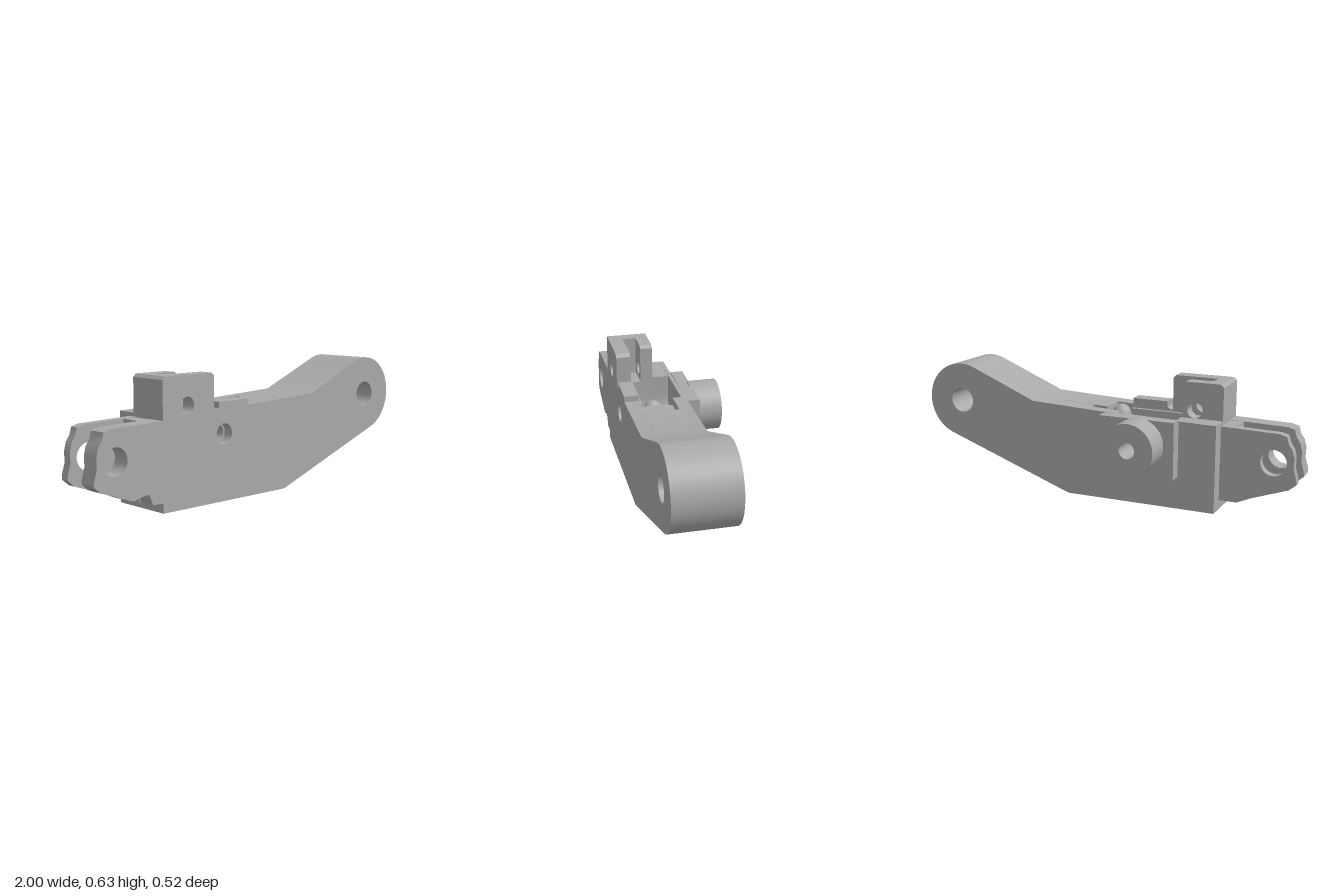
import * as THREE from 'three';
import { toCreasedNormals } from 'three/addons/utils/BufferGeometryUtils.js';

export function createModel() {
  const model = new THREE.Group();
  const grey = new THREE.MeshStandardMaterial({ color: 0xaaaaaa });
  grey.name = 'machinedGrey';

  // Plate cut in the front plane, spanning z0 to z1, with round holes [x, y, r]
  function plate(name, pts, z0, z1, holes = []) {
    const shape = new THREE.Shape(pts.map(([x, y]) => new THREE.Vector2(x, y)));
    for (const [x, y, r] of holes) {
      shape.holes.push(new THREE.Path().absarc(x, y, r, 0, Math.PI * 2, true));
    }
    const geo = new THREE.ExtrudeGeometry(shape, { depth: z1 - z0, bevelEnabled: false, curveSegments: 32 });
    geo.translate(0, 0, z0);
    const mesh = new THREE.Mesh(toCreasedNormals(geo, 0.4), grey);
    mesh.name = name;
    model.add(mesh);
  }

  function arc(cx, cy, r, from, to, n) {
    const pts = [];
    for (let i = 0; i <= n; i++) {
      const a = THREE.MathUtils.degToRad(from + (to - from) * i / n);
      pts.push([cx + r * Math.cos(a), cy + r * Math.sin(a)]);
    }
    return pts;
  }

  const eye = [0.8, 0.435, 0.065];
  const pin = (r) => [-0.245, 0.325, r];
  const towerHole = [-0.475, 0.48, 0.04];
  const pocket = arc(-0.247, 0.325, 0.157, 0, -180, 24);
  const lower = [[-0.62, 0], [0.17, 0], ...arc(0.8, 0.435, 0.197, -70.5, 113, 40), [0.37, 0.47]];

  // Body slices: each has the same lower outline and its own top, listed right to left
  const body = (name, z0, z1, top, holes = []) => plate(name, [...lower, ...top], z0, z1, [eye, ...holes]);
  const towerTop = (right) => [[right, 0.605], [right - 0.015, 0.62], [-0.605, 0.62], [-0.62, 0.605]];
  const backTop = [[-0.405, 0.44], [-0.62, 0.44]];
  const slotTower = [[-0.545, 0.42], [-0.545, 0.62], [-0.605, 0.62], [-0.62, 0.605]];
  const scoop = [[-0.005, 0.455], [-0.005, 0.4], [-0.09, 0.36]];

  body('backWall', -0.055, -0.035, [[-0.09, 0.45], [-0.62, 0.44]], [pin(0.04)]);
  body('pocketBack', -0.035, 0.01, [[-0.09, 0.45], ...pocket, ...backTop]);
  body('pocketGroove', 0.01, 0.05, [[0.07, 0.457], [0.07, 0.41], [-0.09, 0.41], ...pocket, ...backTop]);
  body('pocketTower', 0.05, 0.115, [...scoop, ...pocket, [-0.41, 0.42], ...towerTop(-0.41)], [towerHole]);
  body('pocketSlot', 0.115, 0.165, [...scoop, ...pocket, [-0.405, 0.42], ...slotTower]);
  body('slotFront', 0.165, 0.185, [...scoop, [-0.09, 0.43], [-0.31, 0.43], ...slotTower], [pin(0.04)]);

  // Front wall with raised lip and tower face
  const frontTop = [[-0.09, 0.45], [-0.09, 0.48], [-0.28, 0.48], [-0.28, 0.45], [-0.295, 0.44],
    [-0.31, 0.44], ...towerTop(-0.31)];
  body('frontWallInner', 0.185, 0.21, frontTop, [pin(0.04), towerHole]);
  body('frontWall', 0.21, 0.26, frontTop, [pin(0.05), towerHole]);

  // Forked end
  const forkHole = [-0.885, 0.27, 0.065];
  const forkEnd = [[-0.62, 0.422], [-0.91, 0.415], [-0.945, 0.405], [-0.955, 0.37], [-0.975, 0.34],
    [-0.985, 0.3], [-0.983, 0.25], [-0.998, 0.2], [-1, 0.175], [-0.965, 0.145], [-0.79, 0.083]];
  plate('backProng', [...forkEnd, [-0.71, 0.048], [-0.62, 0.048]], 0.02, 0.065, [forkHole]);
  plate('frontProng', [...forkEnd, [-0.72, 0.1], [-0.7, 0.098], [-0.68, 0.048], [-0.62, 0.048]], 0.17, 0.26, [forkHole]);
  plate('forkWeb', [[-0.62, 0.048], [-0.62, 0.42], [-0.69, 0.42], [-0.69, 0.048]], 0.065, 0.17);

  // Rear mounting pad and round boss
  plate('rearPad', [[-0.43, 0.163], [-0.035, 0.163], [-0.035, 0.45], [-0.43, 0.45]], -0.12, -0.055, [pin(0.04)]);
  plate('rearBoss', arc(-0.245, 0.325, 0.133, 0, 352.5, 47), -0.26, -0.108, [pin(0.04)]);

  // Small rounded catch beside the pocket
  const catchMesh = new THREE.Mesh(new THREE.SphereGeometry(1, 24, 16), grey);
  catchMesh.name = 'catch';
  catchMesh.scale.set(0.05, 0.06, 0.05);
  catchMesh.position.set(-0.055, 0.4, 0.12);
  model.add(catchMesh);

  return model;
}
